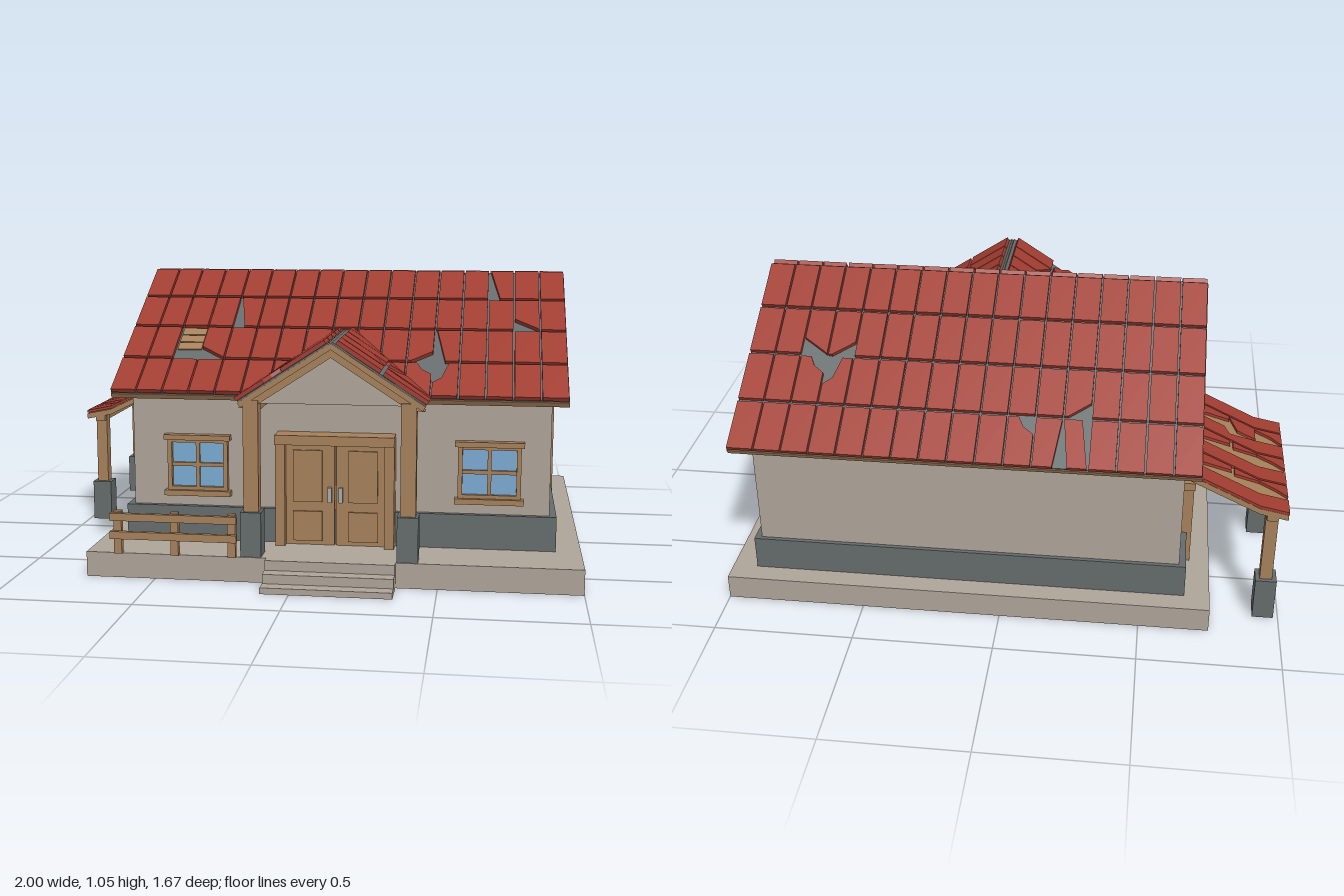
import * as THREE from 'three';
import { mergeGeometries } from 'three/addons/utils/BufferGeometryUtils.js';

const material = (name, color) => {
  const m = new THREE.MeshStandardMaterial({ color });
  m.name = name;
  return m;
};

export function createModel() {
  const plaster = material('plaster', 0xaea499);
  const stone = material('stone', 0x656b6c);
  const wood = material('wood', 0xa5805a);
  const clay = material('clay tile', 0xa03c30);
  const glass = material('glass', 0x7aaad2);
  const metal = material('metal', 0xa9abab);

  const model = new THREE.Group();
  model.name = 'house';
  const group = (name, parent = model) => {
    const g = new THREE.Group();
    g.name = name;
    parent.add(g);
    return g;
  };
  const add = (parent, name, geo, mat) => {
    const m = new THREE.Mesh(geo, mat);
    m.name = name;
    parent.add(m);
    return m;
  };
  // Box given by its extents
  const box = (parent, name, mat, x0, x1, y0, y1, z0, z1) => {
    const m = add(parent, name, new THREE.BoxGeometry(x1 - x0, y1 - y0, z1 - z0), mat);
    m.position.set((x0 + x1) / 2, (y0 + y1) / 2, (z0 + z1) / 2);
    return m;
  };
  // Flat polygon thickened along z
  const plate = (pts, depth, z = 0) => new THREE.ExtrudeGeometry(
    new THREE.Shape(pts.map(p => new THREE.Vector2(p[0], p[1]))),
    { depth, bevelEnabled: false }).translate(0, 0, z);
  // Straight timber between two points in the xy plane
  const bar = (parent, name, x1, y1, x2, y2, w, d) => {
    const m = add(parent, name, new THREE.BoxGeometry(Math.hypot(x2 - x1, y2 - y1), w, d), wood);
    m.position.set((x1 + x2) / 2, (y1 + y2) / 2, 0);
    m.rotation.z = Math.atan2(y2 - y1, x2 - x1);
  };

  // Platform and steps
  box(model, 'platform', plaster, -0.75, 1, 0, 0.09, -0.82, 0.7);
  [[0.09, 0.73], [0.055, 0.78], [0.022, 0.83]].forEach(([h, z]) =>
    box(model, 'step', plaster, -0.1, 0.355, 0, h, 0.69, z));

  // Walls with gables, and stone footing
  const walls = add(model, 'walls', plate([[-0.595, 0.08], [0.595, 0.08], [0.595, 0.663],
    [0, 1.012], [-0.595, 0.663]], 1.52, -0.76), plaster);
  walls.rotation.y = Math.PI / 2;
  walls.position.set(0.125, 0, -0.135);
  box(model, 'footing', stone, -0.66, 0.91, 0.085, 0.215, -0.745, 0.48);

  // Gable timber frames
  for (const side of [-1, 1]) {
    const frame = group('gableFrame');
    frame.rotation.y = Math.PI / 2;
    frame.position.set(0.125 + side * 0.775, 0, -0.135);
    const post = add(frame, 'gablePost', new THREE.BoxGeometry(0.06, 0.9, 0.034), wood);
    post.position.y = 0.54;
    const tie = add(frame, 'tieBeam', new THREE.BoxGeometry(1.22, 0.04, 0.05), wood);
    tie.position.y = 0.65;
    for (const s of [-1, 1]) {
      const pts = [[0, 1.016], [0.665, 0.63], [0.58, 0.63], [0, 0.966]];
      add(frame, 'rafter', plate(pts.map(p => [p[0] * s, p[1]]), 0.06, -0.03), wood);
      bar(frame, 'brace', s * 0.04, 0.66, s * 0.23, 0.862, 0.048, 0.034);
    }
  }

  // Broken tile outlines, in unit tile coordinates with y up the slope
  const shapes = {
    none: null,
    slantL: [[0, 0], [1, 0], [1, 1], [0.05, 1]].map(([x, y]) => [x === 0 ? 0.45 : x, y]),
    slantR: [[0, 0], [0.75, 0], [1, 1], [0, 1]],
    wedge: [[0.25, 0], [1, 0], [0.7, 1], [0, 1]],
    chipBL: [[0, 0.35], [0.9, 0.05], [1, 0], [1, 1], [0, 1]],
    chipBR: [[0, 0], [0.15, 0], [1, 0.3], [1, 1], [0, 1]],
    chipTL: [[0, 0], [1, 0], [1, 1], [0.6, 1], [0.35, 0.55], [0, 0.4]],
    chipTR: [[0, 0], [1, 0], [1, 0.65], [0.6, 0.8], [0.4, 1], [0, 1]],
  };
  const whole = [[0, 0], [1, 0], [1, 1], [0, 1]];

  // Tiled slope: x along the eave, y up the slope, z out of it
  const roofSlope = (name, pos, turn, pitch, width, length, rows, cols, broken) => {
    const turned = group(name);
    turned.position.set(...pos);
    turned.rotation.y = turn;
    const g = group('slope', turned);
    g.rotation.x = pitch - Math.PI / 2;
    box(g, 'underlay', stone, 0.004, width - 0.004, 0.004, length, -0.006, 0);
    box(g, 'roofBoards', wood, 0, width, 0, length, -0.025, -0.006);
    const w = width / cols, h = length / rows, tiles = [];
    for (let r = 0; r < rows; r++) for (let c = 0; c < cols; c++) {
      const key = broken[`${r},${c}`];
      if (key === 'none') continue;
      const pts = key ? shapes[key] : whole;
      tiles.push(plate(pts.map(([x, y]) =>
        [c * w + 0.003 + x * (w - 0.006), r * h + y * (h - 0.013)]), 0.015, 0.001));
    }
    add(g, 'roofTiles', mergeGeometries(tiles), clay);
    return g;
  };

  // Main roof
  const pitch = Math.atan2(0.4, 0.695), run = Math.hypot(0.4, 0.695);
  const front = roofSlope('frontRoof', [-0.69, 0.645, 0.56], 0, pitch, 1.63, run, 4, 17, {
    '1,2': 'none', '1,3': 'chipBL', '2,4': 'slantL', '3,14': 'slantL', '2,15': 'chipBL',
    '1,12': 'slantL', '0,12': 'chipTL', '0,11': 'chipTR', '1,11': 'chipBR',
  });
  for (let i = 0; i < 3; i++)
    box(front, 'exposedPlank', wood, 0.195, 0.285, 0.262 + i * 0.046, 0.303 + i * 0.046, 0, 0.005);
  roofSlope('backRoof', [0.94, 0.645, -0.83], Math.PI, pitch, 1.63, run, 4, 17, {
    '0,12': 'wedge', '0,11': 'slantR', '0,10': 'chipTR', '1,12': 'chipBR', '1,3': 'chipTL',
    '2,3': 'chipBR', '1,2': 'chipTR', '2,2': 'chipBL',
  });

  // Porch roof
  const pp = Math.atan2(0.215, 0.33), pl = Math.hypot(0.215, 0.33) - 0.006;
  roofSlope('porchRoofLeft', [0.455, 0.64, 0.68], Math.PI / 2, pp, 0.5, pl, 2, 5,
    { '0,0': 'slantR', '0,1': 'chipTR', '1,1': 'chipBR', '0,2': 'slantL', '0,3': 'chipTL' });
  roofSlope('porchRoofRight', [-0.205, 0.64, 0.18], -Math.PI / 2, pp, 0.5, pl, 2, 5,
    { '0,3': 'chipTL', '1,3': 'chipBL', '0,4': 'chipTR' });

  // Porch gable, posts and side beams
  add(model, 'porchGable', plate([[-0.16, 0.632], [0.41, 0.632], [0.125, 0.82]], 0.025, 0.63), plaster);
  for (const s of [-1, 1]) {
    const pts = [[0, 0.828], [0.325, 0.618], [0.275, 0.618], [0, 0.797]];
    add(model, 'porchRafter', plate(pts.map(p => [0.125 + s * p[0], p[1]]), 0.05, 0.625), wood);
    const x = 0.12 + s * 0.275;
    box(model, 'porchPost', wood, x - 0.027, x + 0.027, 0.24, 0.645, 0.633, 0.682);
    box(model, 'porchPostBase', stone, x - 0.037, x + 0.037, 0.09, 0.25, 0.62, 0.695);
    box(model, 'porchBeam', wood, x - 0.02, x + 0.02, 0.6, 0.64, 0.45, 0.64);
  }

  // Double door
  const door = group('frontDoor');
  for (const x of [-0.095, 0.3]) box(door, 'doorJamb', wood, x, x + 0.035, 0.09, 0.47, 0.45, 0.53);
  box(door, 'doorLintel', wood, -0.095, 0.335, 0.465, 0.5, 0.45, 0.545);
  for (const s of [-1, 1]) {
    const [a, b] = s < 0 ? [-0.062, 0.117] : [0.123, 0.302];
    box(door, 'doorLeaf', wood, a, b, 0.09, 0.466, 0.45, 0.497);
    const c = (a + b) / 2 + s * 0.008;
    for (const [y0, y1] of [[0.105, 0.215], [0.25, 0.44]])
      box(door, 'doorPanel', wood, c - 0.053, c + 0.053, y0, y1, 0.49, 0.504);
    const hx = 0.12 + s * 0.02;
    box(door, 'doorHandle', metal, hx - 0.007, hx + 0.007, 0.25, 0.305, 0.497, 0.512);
  }

  // Windows
  for (const x of [-0.392, 0.67]) {
    const win = group('window');
    win.position.x = x;
    box(win, 'windowGlass', glass, -0.095, 0.095, 0.275, 0.465, 0.455, 0.464);
    for (const s of [-1, 1])
      box(win, 'windowJamb', wood, s * 0.104 - 0.008, s * 0.104 + 0.008, 0.27, 0.468, 0.45, 0.48);
    for (const y of [0.28, 0.46]) box(win, 'windowRail', wood, -0.1, 0.1, y - 0.008, y + 0.008, 0.45, 0.478);
    box(win, 'windowMullion', wood, -0.007, 0.007, 0.275, 0.465, 0.45, 0.474);
    box(win, 'windowTransom', wood, -0.1, 0.1, 0.363, 0.377, 0.45, 0.474);
    box(win, 'windowHead', wood, -0.123, 0.123, 0.463, 0.482, 0.45, 0.492);
    box(win, 'windowSill', wood, -0.123, 0.123, 0.255, 0.275, 0.45, 0.492);
  }

  // Fence
  for (const x of [-0.63, -0.425, -0.22]) box(model, 'fencePost', wood, x - 0.014, x + 0.014, 0.09, 0.245, 0.69, 0.713);
  for (const y of [0.147, 0.213]) box(model, 'fenceRail', wood, -0.655, -0.2, y, y + 0.027, 0.711, 0.728);

  // Side door
  const sd = group('sideDoor');
  box(sd, 'sideDoorLeaf', wood, -0.667, -0.63, 0.09, 0.41, -0.51, -0.34);
  for (const z of [-0.53, -0.34]) box(sd, 'sideDoorJamb', wood, -0.678, -0.63, 0.09, 0.42, z, z + 0.025);
  box(sd, 'sideDoorLintel', wood, -0.682, -0.63, 0.405, 0.435, -0.54, -0.305);
  box(sd, 'sideDoorHandle', metal, -0.676, -0.664, 0.24, 0.29, -0.375, -0.363);

  // Lean-to roof: plan polygons bent onto a two-pitch slope
  const lean = group('leanTo');
  const height = x => x > -0.9 ? 0.472 + (x + 0.9) * 0.48 : 0.472 + (x + 0.9) * 0.2;
  const bent = (pts, depth, lift) => {
    const g = plate(pts.map(([x, z]) => [x, -z]), depth).rotateX(-Math.PI / 2);
    const p = g.attributes.position;
    for (let i = 0; i < p.count; i++) p.setY(i, p.getY(i) + lift + height(p.getX(i)));
    g.computeVertexNormals();
    return g;
  };
  const rect = (x0, x1, z0, z1) => [[x0, z0], [x1, z0], [x1, z1], [x0, z1]];
  add(lean, 'leanToBoards', mergeGeometries([rect(-0.998, -0.9, -0.728, -0.11), rect(-0.9, -0.635, -0.728, -0.11)]
    .map(r => bent(r, 0.022, -0.024))), wood);
  const strips = [];
  for (let i = 0; i < 7; i++) {
    const z0 = -0.73 + i * 0.0893, z1 = z0 + 0.08, m = (z0 + z1) / 2;
    if (i % 2 === 0) {
      strips.push(rect(-1, -0.9, z0, z1));
      strips.push(i === 4 ? [[-0.9, z0], [-0.635, z0], [-0.635, z1], [-0.78, z1], [-0.8, m], [-0.9, z1]]
        : rect(-0.9, -0.635, z0, z1));
    } else {
      strips.push([[-0.8, m + 0.015], [-0.635, z0], [-0.635, z1], [-0.8, z1]]);
      strips.push(i === 5 ? [[-0.9, z0], [-0.83, z0], [-0.8, z1], [-0.9, z1]]
        : [[-0.9, m + 0.03], [-0.81, m], [-0.81, z1], [-0.9, z1]]);
      strips.push([[-1, i === 5 ? z0 : z0 + 0.01], [-0.96, m], [-0.9, m + 0.03], [-0.9, z1], [-1, z1]]);
    }
  }
  add(lean, 'leanToTiles', mergeGeometries(strips.map(s => bent(s, 0.011, 0))), clay);

  // Lean-to beam, posts and stone bases
  box(lean, 'leanToBeam', wood, -0.965, -0.925, 0.42, 0.446, -0.725, -0.115);
  for (const z of [-0.685, -0.155]) {
    box(lean, 'leanToPost', wood, -0.967, -0.923, 0.15, 0.44, z - 0.022, z + 0.022);
    box(lean, 'leanToPostBase', stone, -0.983, -0.908, 0, 0.16, z - 0.037, z + 0.037);
  }
  return model;
}
